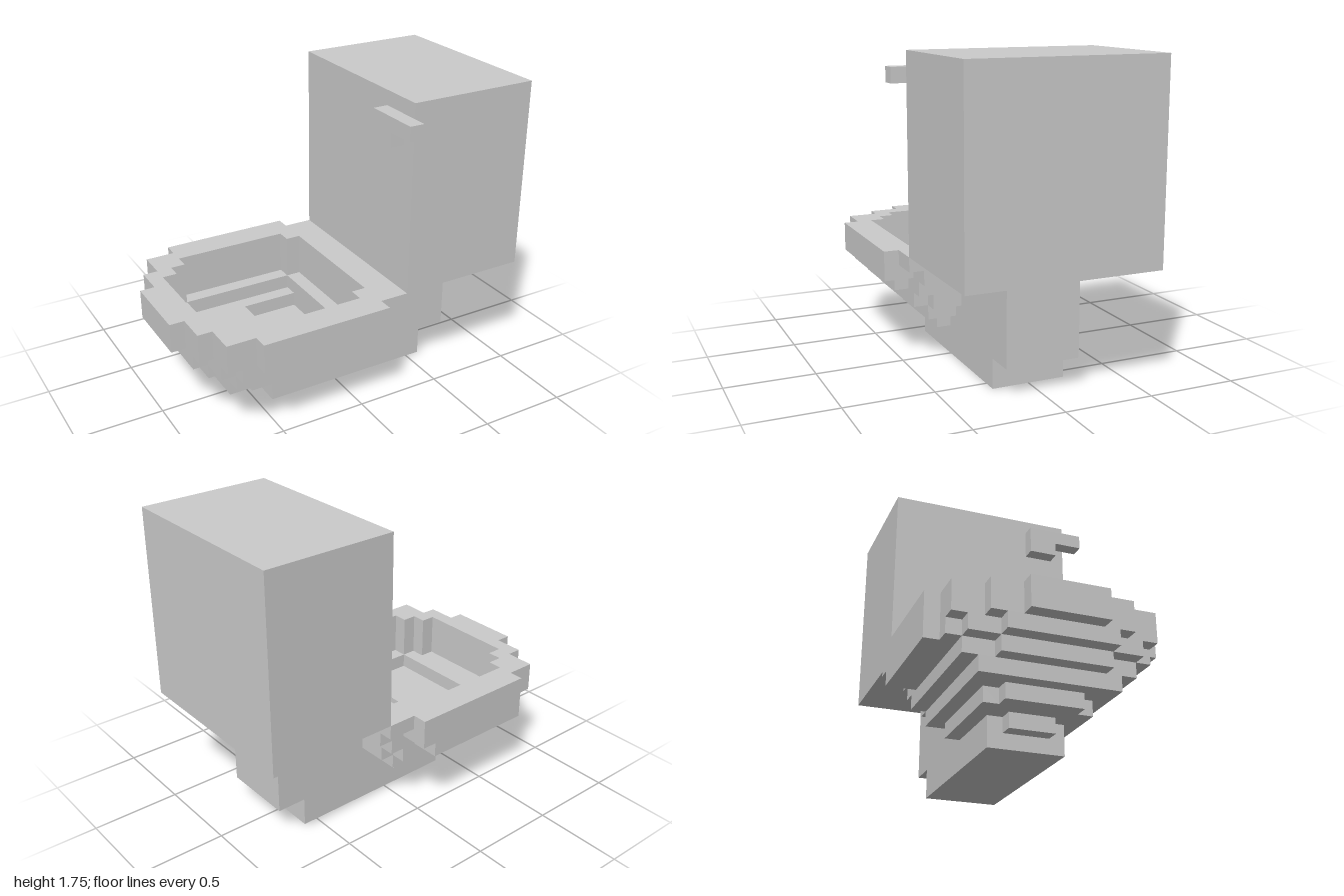
import * as THREE from 'three';

const U = 1 / 12; // one block of the grid

export function createModel() {
  const group = new THREE.Group();
  const material = new THREE.MeshStandardMaterial({ color: 0xcccccc, flatShading: true });

  const add = (name, geometry) => {
    geometry.scale(U, U, U);
    const mesh = new THREE.Mesh(geometry, material);
    mesh.name = name;
    group.add(mesh);
  };

  // Box from its extents, in blocks
  const box = (name, x0, x1, y0, y1, z0, z1) => add(name,
    new THREE.BoxGeometry(x1 - x0, y1 - y0, z1 - z0)
      .translate((x0 + x1) / 2, (y0 + y1) / 2, (z0 + z1) / 2));

  // Mirrored stepped outline, counter-clockwise: each step is [start x, half width]
  const outline = (steps, xEnd) => {
    const side = [];
    steps.forEach(([x, h], i) => {
      const next = i + 1 < steps.length ? steps[i + 1][0] : xEnd;
      side.push(new THREE.Vector2(x, -h), new THREE.Vector2(next, -h));
    });
    const mirrored = side.map((p) => new THREE.Vector2(p.x, -p.y)).reverse();
    return [...side, ...mirrored];
  };

  // Horizontal slab of the bowl, with an optional hole
  const layer = (name, y0, y1, steps, xEnd, hole) => {
    const shape = new THREE.Shape(outline(steps, xEnd));
    if (hole) shape.holes.push(new THREE.Path(hole));
    const geometry = new THREE.ExtrudeGeometry(shape, { depth: y1 - y0, bevelEnabled: false });
    add(name, geometry.rotateX(-Math.PI / 2).translate(0, y0, 0));
  };

  // Hollow of the bowl: wide opening, sunken floor, drain
  const opening = outline([[-10, 3.5], [-9, 4.5], [-8, 5.5], [0, 4.5]], 1);
  const basin = outline([[-8, 4.5]], 0);
  const drain = outline([[-4, 3.5]], 0);
  const rimFront = [[-12, 2.5], [-11, 4.5], [-10, 6.5], [-8, 7.5]];

  // Bowl, from the rim down
  layer('rimTop', 7, 8, [...rimFront, [1, 6.5]], 3, opening);
  layer('rimBottom', 6, 7, [...rimFront, [1, 5.5]], 3, opening);
  layer('bowlUpper', 5, 6, [[-11, 3.5], [-10, 5.5], [-9, 6.5], [0, 5.5]], 2, opening);
  layer('bowlMiddle', 4, 5, [[-10, 3.5], [-9, 5.5], [1, 4.5]], 2, basin);
  layer('bowlLower', 3, 4, [[-9, 4.5]], 1, drain);
  layer('bowlBase', 2, 3, [[-8, 2.5], [-7, 3.5]], 0);
  // Deeper rim on the rear side only
  box('rimSkirt', -8, 0, 5, 6, -7.5, -6.5);

  // Pedestal: side profile that fits under and behind the bowl steps
  const profile = [[-5, 0], [7, 0], [7, 2], [9, 2], [9, 8], [3, 8], [3, 6], [2, 6],
    [2, 4], [1, 4], [1, 3], [0, 3], [0, 2], [-5, 2]];
  const pedestal = new THREE.Shape(profile.map(([x, y]) => new THREE.Vector2(x, y)));
  add('pedestal', new THREE.ExtrudeGeometry(pedestal, { depth: 5, bevelEnabled: false })
    .translate(0, 0, -2.5));
  box('pedestalFront', -6, -5, 1, 2, -1.5, 1.5);

  // Water tank and flush lever
  box('tank', 3, 12, 8, 21, -6.5, 6.5);
  box('leverHandle', 2, 3, 19, 20, 3.5, 7.5);
  box('leverMount', 2, 3, 18, 19, 3.5, 5.5);

  return group;
}
